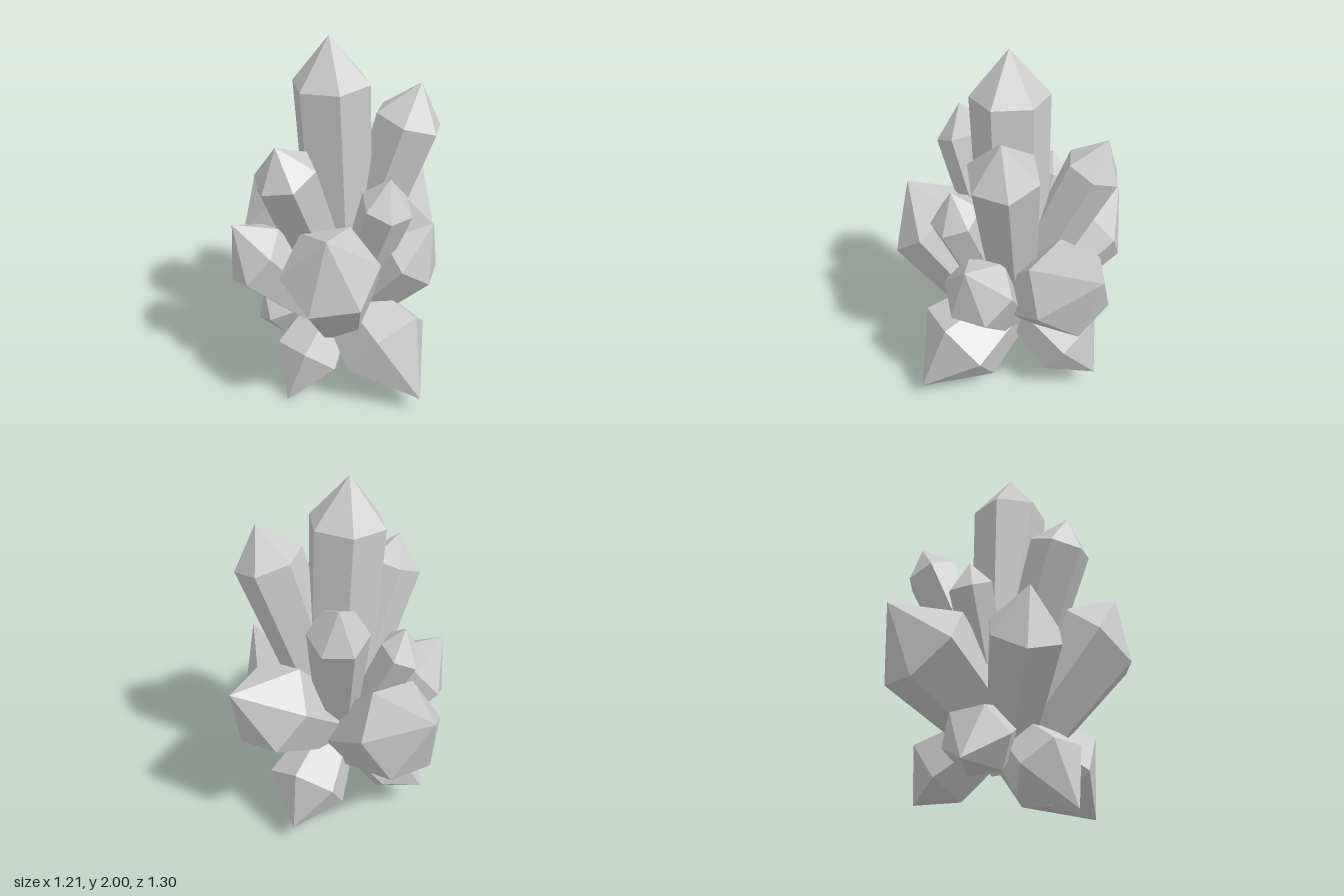
import * as THREE from 'three';

const ROOT = new THREE.Vector3(0, 0.5, 0); // all crystals radiate from here
const SIDES = 6;

// A hexagonal crystal: prism widening from the foot to a shoulder ring, then a pointed cap.
// reach = shoulder position along root-to-tip, sag = how far it hangs below that line,
// twist = turn of the ring in degrees. A sagging crystal also starts from a deeper foot.
function crystal(name, tip, reach, sag, radius, twist, taper) {
  const axis = tip.clone().sub(ROOT).normalize();
  const u = new THREE.Vector3(0, 0, 1).projectOnPlane(axis).normalize();
  const shoulder = ROOT.clone().lerp(tip, reach);
  shoulder.y -= sag;
  const foot = ROOT.clone();
  foot.y -= 2 * Math.max(sag, 0);
  const ring = (centre, r) => Array.from({ length: SIDES }, (_, i) => {
    const angle = THREE.MathUtils.degToRad(twist) + (i / SIDES) * Math.PI * 2;
    return u.clone().multiplyScalar(r).applyAxisAngle(axis, angle).add(centre);
  });
  const base = ring(foot, radius * taper), top = ring(shoulder, radius);
  const points = [];
  for (let i = 0; i < SIDES; i++) {
    const j = (i + 1) % SIDES;
    points.push(base[i], base[j], top[j], base[i], top[j], top[i]); // side
    points.push(top[i], top[j], tip); // cap
    points.push(foot, base[j], base[i]); // foot
  }
  const geometry = new THREE.BufferGeometry().setFromPoints(points);
  geometry.computeVertexNormals();
  const mesh = new THREE.Mesh(geometry, new THREE.MeshStandardMaterial({ color: 0xcccccc, flatShading: true }));
  mesh.name = name;
  return mesh;
}

export function createModel() {
  const group = new THREE.Group();
  group.name = 'crystalCluster';
  const add = (name, x, y, z, reach, sag, radius, twist, taper) =>
    group.add(crystal(name, new THREE.Vector3(x, y, z), reach, sag, radius, twist, taper));

  // Upright crystals, nearly straight-sided
  add('mainCrystal', -0.07, 2, 0.02, 0.84, 0, 0.205, -1, 0.9);
  const upright = (name, x, y, z, reach, sag, radius, twist) => add(name, x, y, z, reach, sag, radius, twist, 0.7);
  upright('tallLeftCrystal', 0.39, 1.75, 0.09, 0.86, 0.02, 0.185, 34);
  upright('tallRightCrystal', -0.39, 1.55, 0.27, 0.88, 0.03, 0.165, 0);
  upright('tallBackCrystal', 0.06, 1.55, -0.47, 0.86, 0.02, 0.155, 20);
  upright('smallFrontCrystal', 0.17, 1.35, 0.33, 0.95, 0.11, 0.14, -2);
  upright('smallBackCrystal', -0.32, 1.27, -0.24, 0.98, 0.12, 0.125, 28);

  // Broad crystals around the middle, narrowing to the root
  const broad = (name, x, y, z, reach, sag, radius, twist) => add(name, x, y, z, reach, sag, radius, twist, 0.6);
  broad('rightCrystal', -0.6, 1.02, 0.02, 0.81, 0.1, 0.2, 25);
  broad('frontCrystal', -0.21, 1.18, 0.57, 0.81, 0.11, 0.255, 15);
  broad('leftFrontCrystal', 0.43, 1.04, 0.28, 0.77, 0.08, 0.2, 39);
  broad('leftBackCrystal', 0.59, 1.07, -0.39, 0.66, 0, 0.255, 38);
  broad('rightBackCrystal', -0.39, 0.97, -0.65, 0.7, 0.04, 0.265, 9);

  // Drooping crystals at the foot, with shoulders lifted above the line to the tip
  broad('lowLeftFrontCrystal', 0.31, 0.1, 0.555, 0.58, -0.05, 0.27, -4);
  broad('lowRightFrontCrystal', -0.38, 0, 0.28, 0.62, -0.02, 0.2, 33);
  broad('lowLeftBackCrystal', 0.31, 0.14, -0.44, 0.69, -0.06, 0.22, -8);
  broad('lowRightBackCrystal', -0.45, 0.19, -0.28, 0.69, -0.03, 0.185, 22);
  return group;
}
